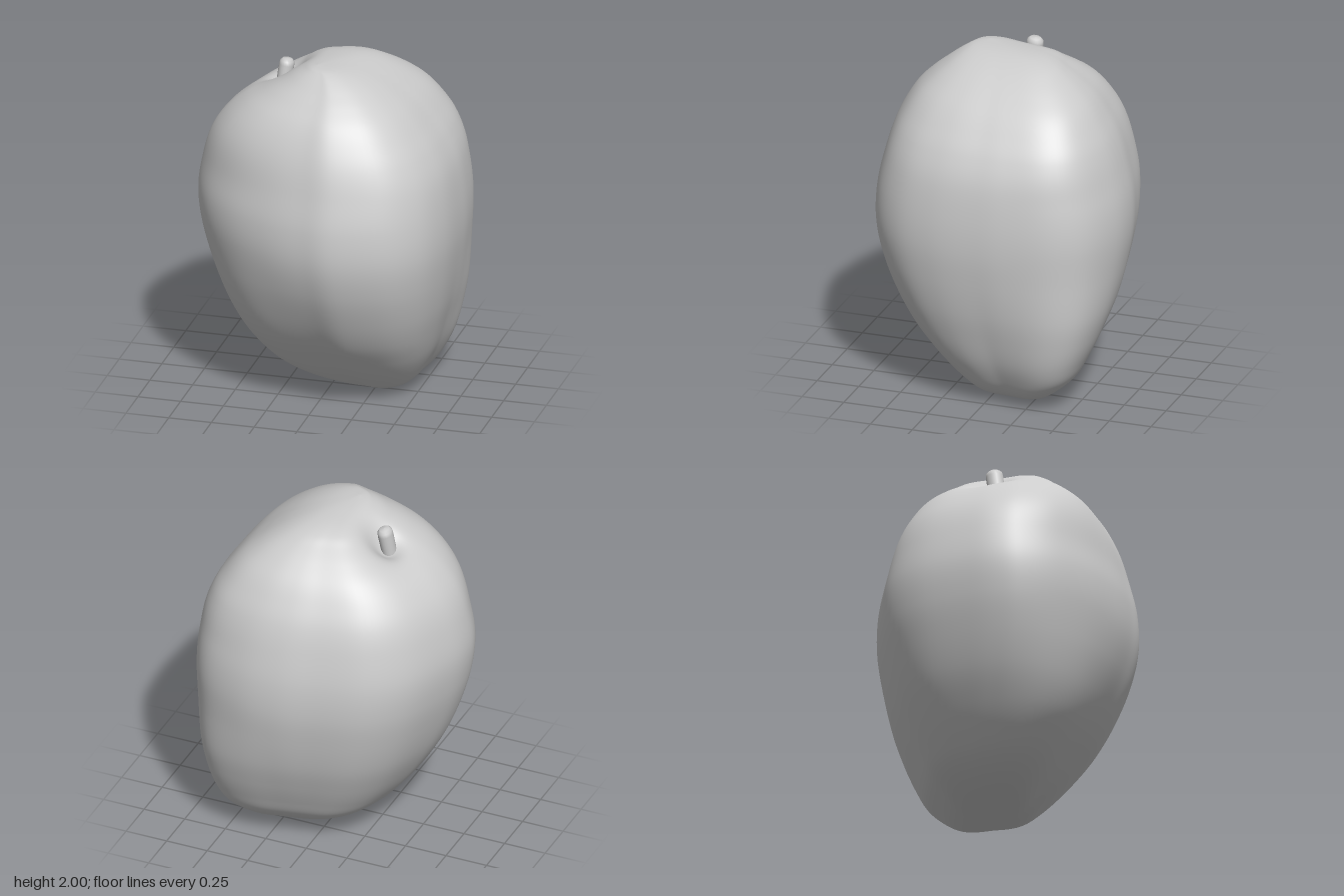
import * as THREE from 'three';
import { mergeVertices } from 'three/addons/utils/BufferGeometryUtils.js';

// Horizontal outline of the fruit as [x, z]: a rounded triangle
const OUTLINE = [
  [-0.75, 0.08], [-0.72, -0.12], [-0.6, -0.42], [-0.4, -0.61], [-0.1, -0.7], [0.1, -0.74],
  [0.32, -0.72], [0.55, -0.62], [0.68, -0.45], [0.74, -0.2], [0.75, 0], [0.73, 0.25],
  [0.65, 0.48], [0.48, 0.65], [0.2, 0.74], [0, 0.72], [-0.2, 0.66], [-0.42, 0.54],
  [-0.6, 0.39], [-0.71, 0.23],
];

// Extents at each height: [y, left x, right x, back z, front z]
const LEVELS = [
  [0, 0.28, 0.28, -0.1, -0.1],
  [0.012, 0.19, 0.36, -0.21, 0.02],
  [0.045, 0.02, 0.44, -0.31, 0.11],
  [0.1, -0.16, 0.5, -0.385, 0.19],
  [0.18, -0.295, 0.55, -0.465, 0.285],
  [0.29, -0.4, 0.6, -0.525, 0.39],
  [0.43, -0.5, 0.645, -0.59, 0.505],
  [0.6, -0.595, 0.69, -0.655, 0.605],
  [0.8, -0.675, 0.725, -0.705, 0.69],
  [1.0, -0.73, 0.745, -0.735, 0.735],
  [1.2, -0.75, 0.74, -0.73, 0.73],
  [1.4, -0.72, 0.71, -0.69, 0.685],
  [1.55, -0.67, 0.65, -0.64, 0.64],
  [1.67, -0.59, 0.57, -0.575, 0.585],
  [1.77, -0.485, 0.485, -0.505, 0.52],
  [1.85, -0.365, 0.39, -0.42, 0.44],
  [1.91, -0.265, 0.3, -0.335, 0.365],
  [1.95, -0.2, 0.22, -0.265, 0.31],
  [1.977, -0.14, 0.14, -0.17, 0.265],
  [1.992, -0.095, 0.06, -0.03, 0.225],
  [2.0, -0.04, -0.04, 0.15, 0.15],
];

const curve = (points, closed = false) => new THREE.CatmullRomCurve3(points, closed, 'catmullrom', 0.5);

function fruitGeometry(rings = 160, sides = 120) {
  const { smoothstep } = THREE.MathUtils;
  const outline = curve(OUTLINE.map(([x, z]) => new THREE.Vector3(x / 0.75, 0, z / 0.74)), true);
  const low = curve(LEVELS.map(([y, l, , b]) => new THREE.Vector3(l, y, b)));
  const high = curve(LEVELS.map(([y, , r, , f]) => new THREE.Vector3(r, y, f)));
  const positions = [], index = [];
  for (let i = 0; i <= rings; i++) {
    const a = low.getPoint(i / rings), b = high.getPoint(i / rings);
    // Both ends are fuller along the diagonal from (-x, +z) to (+x, -z)
    const fullness = 0.03 + 0.18 * (1 - smoothstep(a.y, 0, 1)) + 0.06 * smoothstep(a.y, 1.3, 1.8);
    for (let j = 0; j < sides; j++) {
      const p = outline.getPoint(j / sides);
      const diagonal = Math.max(0, -2 * p.x * p.z / (p.x * p.x + p.z * p.z));
      p.multiplyScalar(1 + fullness * diagonal ** 2);
      const x = (a.x + b.x) / 2 + p.x * (b.x - a.x) / 2;
      const z = (a.z + b.z) / 2 + p.z * (b.z - a.z) / 2;
      // Hollow around the stem
      const d2 = (x + 0.28) ** 2 + (z + 0.045) ** 2;
      const dip = a.y > 1.4 ? 0.08 * Math.exp(-d2 / 0.008) + 0.03 * Math.exp(-d2 / 0.03) : 0;
      positions.push(x, a.y - dip, z);
      if (i < rings) {
        const k = i * sides + j, n = i * sides + (j + 1) % sides;
        index.push(k, k + sides, n, n, k + sides, n + sides);
      }
    }
  }
  let geometry = new THREE.BufferGeometry();
  geometry.setAttribute('position', new THREE.Float32BufferAttribute(positions, 3));
  geometry.setIndex(index);
  geometry = mergeVertices(geometry, 1e-5); // closes both poles
  geometry.computeVertexNormals();
  return geometry;
}

// Short rounded stub
function stemGeometry() {
  const profile = [[0.043, 0], [0.042, 0.1], [0.043, 0.18], [0.04, 0.202], [0.027, 0.216], [0, 0.22]]
    .map(([r, y]) => new THREE.Vector2(r, y));
  return new THREE.LatheGeometry(profile, 20);
}

export function createModel() {
  const group = new THREE.Group();
  group.name = 'fruit';
  const material = new THREE.MeshStandardMaterial({ color: 0xcccccc });

  const body = new THREE.Mesh(fruitGeometry(), material);
  body.name = 'body';

  // Slightly oval and leaning
  const stem = new THREE.Mesh(stemGeometry(), material);
  stem.name = 'stem';
  stem.position.set(-0.3, 1.725, 0.0);
  stem.rotation.set(-0.14, 0, -0.13);
  stem.scale.z = 1.15;

  group.add(body, stem);
  return group;
}
